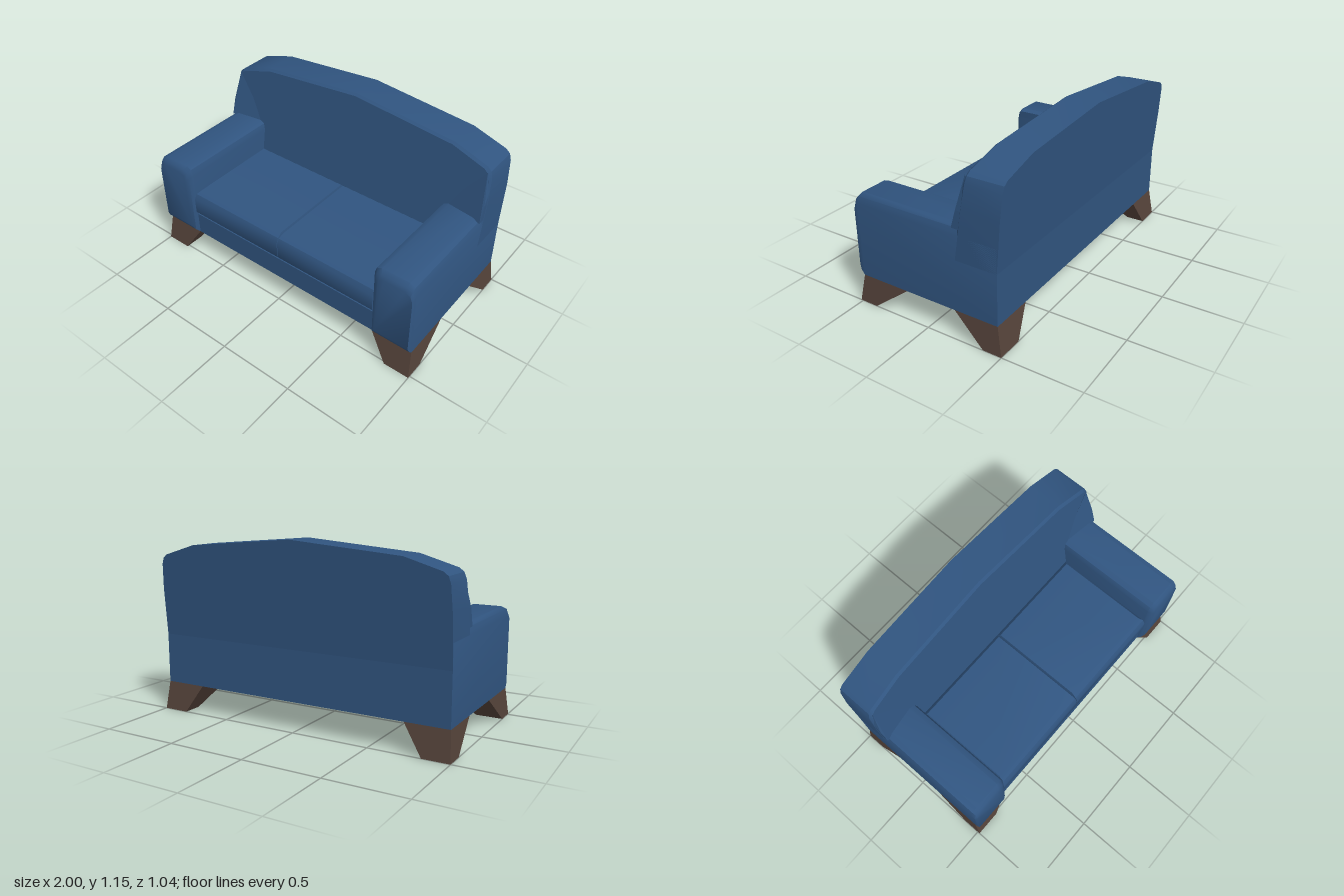
import * as THREE from 'three';
import { toCreasedNormals } from 'three/addons/utils/BufferGeometryUtils.js';
import { ConvexGeometry } from 'three/addons/geometries/ConvexGeometry.js';

// Skins a list of equal-length convex rings and closes both ends.
function loft(rings, crease = 0.1) {
  const tris = [];
  const n = rings[0].length;
  for (let r = 0; r < rings.length - 1; r++) {
    const a = rings[r], b = rings[r + 1];
    for (let i = 0; i < n; i++) {
      const j = (i + 1) % n;
      tris.push([a[i], a[j], b[j]], [a[i], b[j], b[i]]);
    }
  }
  const first = rings[0], last = rings[rings.length - 1];
  for (let i = 1; i < n - 1; i++) {
    tris.push([first[0], first[i + 1], first[i]], [last[0], last[i], last[i + 1]]);
  }
  // Turn the faces outward if the rings ran the other way
  let volume = 0;
  for (const [a, b, c] of tris) {
    volume += new THREE.Vector3(...a).dot(new THREE.Vector3(...b).cross(new THREE.Vector3(...c)));
  }
  if (volume < 0) tris.forEach((t) => t.reverse());
  const geometry = new THREE.BufferGeometry();
  geometry.setAttribute('position', new THREE.Float32BufferAttribute(tris.flat(2), 3));
  return toCreasedNormals(geometry, crease);
}

// Horizontal rectangle ring
const rect = (x0, x1, z0, z1, y) => [[x0, y, z0], [x1, y, z0], [x1, y, z1], [x0, y, z1]];

// Sloping faces of the backrest
const frontZ = (y) => -0.19 - 0.16 * (y - 0.52);
const rearZ = (y) => -0.47 - 0.077 * (y - 0.5);

export function createModel() {
  const model = new THREE.Group();
  const fabric = new THREE.MeshStandardMaterial({ color: 0x30547f });
  fabric.name = 'blue fabric';
  const wood = new THREE.MeshStandardMaterial({ color: 0x55433a });
  wood.name = 'brown wood';

  const add = (name, geometry, material) => {
    const mesh = new THREE.Mesh(geometry, material);
    mesh.name = name;
    model.add(mesh);
    return mesh;
  };
  const box = (name, x, y0, y1, z0, z1) =>
    add(name, new THREE.BoxGeometry(2 * x, y1 - y0, z1 - z0), fabric)
      .position.set(0, (y0 + y1) / 2, (z0 + z1) / 2);

  // Seat base and lower back
  box('seatBase', 0.73, 0.18, 0.335, -0.47, 0.48);
  box('lowerBack', 0.73, 0.18, 0.52, -0.47, -0.19);

  // Arched backrest with a softened front edge
  const half = [[0.985, 0.5], [0.985, 0.8], [0.975, 0.96], [0.962, 1.0], [0.935, 1.022], [0.71, 1.09]];
  const arch = [...half, [0, 1.15], ...half.map(([x, y]) => [-x, y]).reverse()];
  const insetArch = arch.map(([x, y]) => [x * 0.988, y > 0.9 ? y - 0.012 : y]);
  add('backrest', loft([
    arch.map(([x, y]) => [x, y, rearZ(y)]),
    arch.map(([x, y]) => [x, y, frontZ(y) - 0.015]),
    insetArch.map(([x, y]) => [x, y, frontZ(y)]),
  ], 0.5), fabric);

  for (const s of [1, -1]) {
    const side = s > 0 ? 'left' : 'right';

    // Arm: rounded top corners, front drawn in to a smaller face
    const armRing = (inner, outer, bottom, top, z) => [
      [inner, bottom, z], [outer, bottom, z],
      [outer, top - 0.055, z], [outer - 0.015, top - 0.015, z], [outer - 0.05, top, z],
      [inner + 0.045, top, z], [inner + 0.012, top - 0.015, z], [inner, top - 0.055, z],
    ].map(([x, y, d]) => [s * x, y, d]);
    add(side + 'Arm', loft([
      armRing(0.71, 0.985, 0.18, 0.705, -0.47),
      armRing(0.71, 0.985, 0.18, 0.705, 0.48),
      armRing(0.725, 0.983, 0.205, 0.685, 0.503),
      armRing(0.745, 0.978, 0.235, 0.66, 0.516),
    ], 0.75), fabric);

    // Wedge that blends the arm into the backrest
    const wedge = [[0.983, 0.69, -0.183], [0.983, 0.69, -0.35], [0.71, 0.69, frontZ(0.69) - 0.005],
      [0.95, 1.0, -0.262], [0.975, 0.93, -0.3], [0.983, 0.8, -0.35], [0.983, 0.8, -0.215]];
    add(side + 'ArmWedge',
      new ConvexGeometry(wedge.map(([x, y, z]) => new THREE.Vector3(s * x, y, z))), fabric);

    // Seat cushion with a broad bevel along its front
    const cushionRing = (seam, edge, back, front, y) => rect(s * seam, s * edge, back, front, y);
    add(side + 'Cushion', loft([
      cushionRing(0.003, 0.708, -0.2, 0.48, 0.345),
      cushionRing(0.002, 0.71, -0.2, 0.49, 0.36),
      cushionRing(0.002, 0.71, -0.195, 0.49, 0.465),
      cushionRing(0.003, 0.705, -0.185, 0.473, 0.5),
      cushionRing(0.008, 0.688, -0.165, 0.437, 0.52),
    ], 0.6), fabric);

    // Tapered legs splayed toward the corners
    add(side + 'FrontLeg', loft([
      rect(s * 0.83, s * 1.0, 0.39, 0.515, 0),
      rect(s * 0.71, s * 0.985, 0.155, 0.48, 0.18),
    ]), wood);
    add(side + 'BackLeg', loft([
      rect(s * 0.83, s * 1.0, -0.5, -0.38, 0),
      rect(s * 0.71, s * 0.985, -0.47, -0.185, 0.18),
    ]), wood);
  }
  return model;
}
